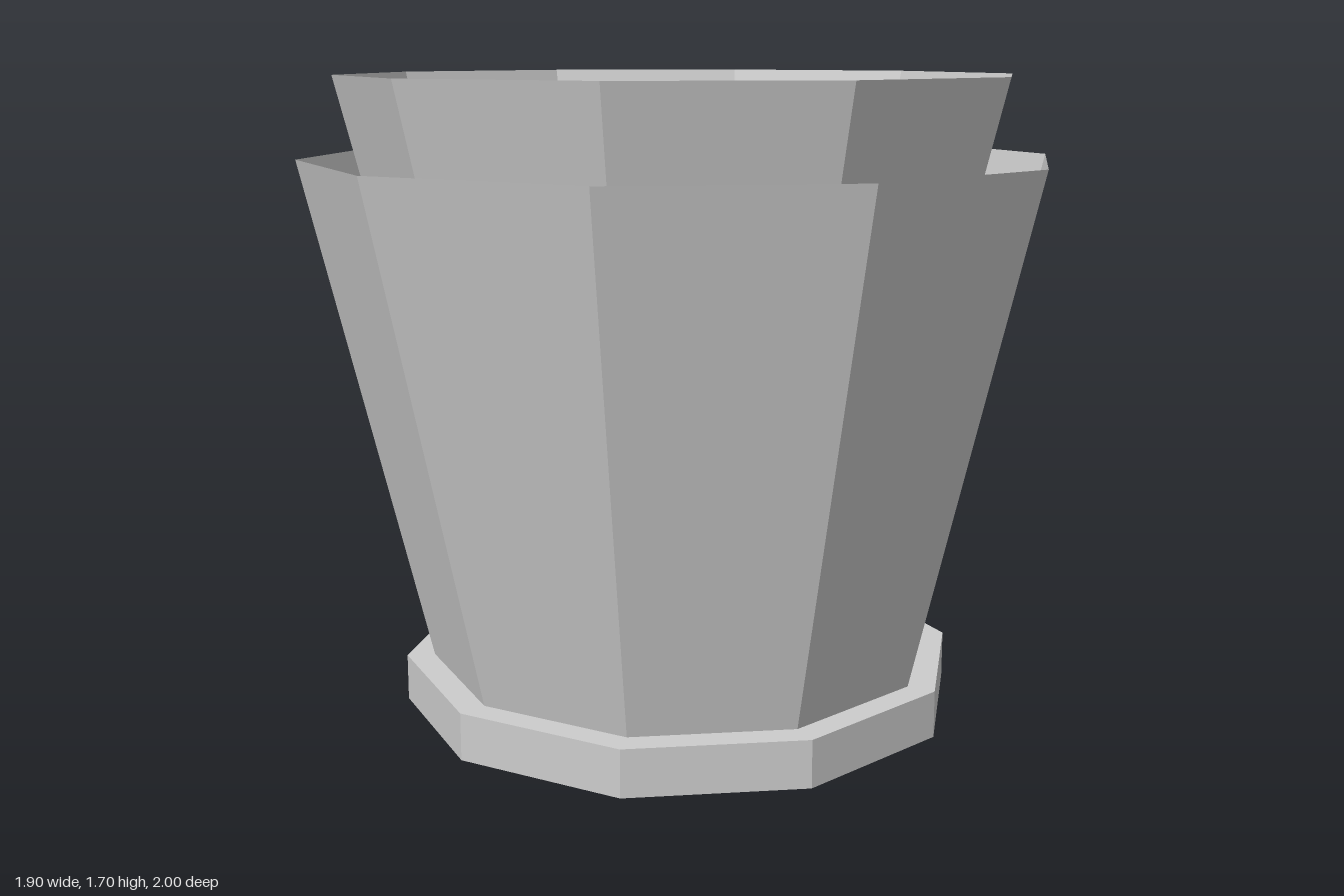
import * as THREE from 'three';

const SIDES = 10;

export function createModel() {
  const group = new THREE.Group();
  const grey = new THREE.MeshStandardMaterial({ color: 0xcccccc, flatShading: true, side: THREE.DoubleSide });
  grey.name = 'plain grey';

  // Ten-sided ring or frustum between two heights, with a corner facing +z
  const addTier = (name, bottomRadius, topRadius, y0, y1, open) => {
    const geometry = new THREE.CylinderGeometry(topRadius, bottomRadius, y1 - y0, SIDES, 1, open);
    geometry.translate(0, (y0 + y1) / 2, 0);
    const mesh = new THREE.Mesh(geometry, grey);
    mesh.name = name;
    group.add(mesh);
  };

  // Solid saucer under the pot
  addTier('saucer', 0.755, 0.755, 0, 0.125, false);
  // Outer wall, open at the top so a gap shows around the liner
  addTier('outerPot', 0.68, 1, 0.125, 1.48, true);
  // Taller thin liner nested inside the outer wall
  addTier('innerLiner', 0.54, 0.9, 0.25, 1.695, true);
  // Shallow raised floor closing the liner
  addTier('raisedFloor', 0.54, 0.36, 0.25, 0.3, false);

  return group;
}
